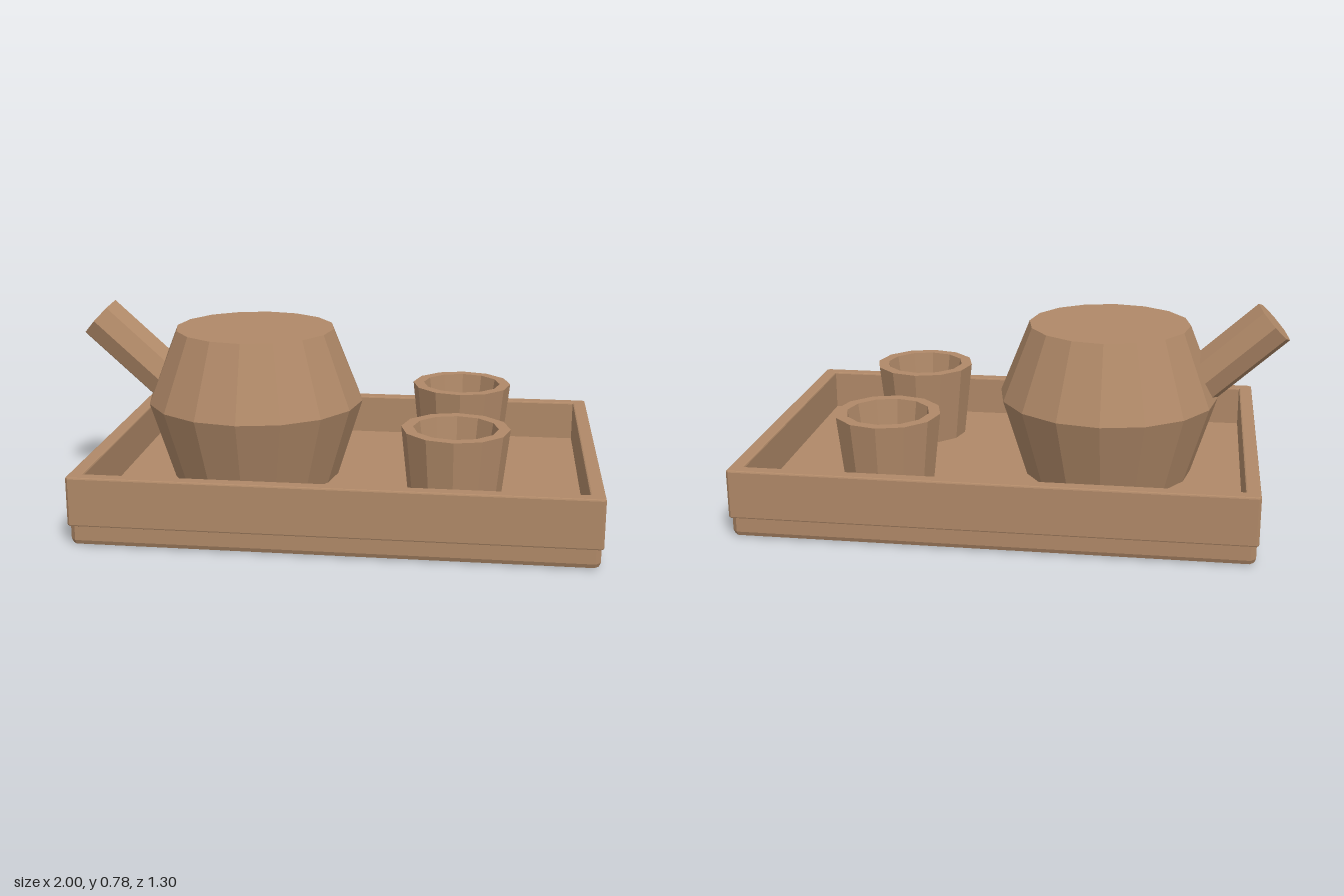
import * as THREE from 'three';

const TRAY_X = 0.053;
const FLOOR_Y = 0.1;

// Rectangle path with clipped corners, centred on the origin
function clippedRect(path, hw, hd, c) {
  path.moveTo(-hw + c, -hd);
  path.lineTo(hw - c, -hd);
  path.lineTo(hw, -hd + c);
  path.lineTo(hw, hd - c);
  path.lineTo(hw - c, hd);
  path.lineTo(-hw + c, hd);
  path.lineTo(-hw, hd - c);
  path.lineTo(-hw, -hd + c);
  path.closePath();
  return path;
}

// Upright bevelled slab from y0 to y1, with an optional rectangular opening
function slab(hw, hd, y0, y1, bevel, corner, hole) {
  const shape = clippedRect(new THREE.Shape(), hw - bevel, hd - bevel, corner);
  if (hole) shape.holes.push(clippedRect(new THREE.Path(), hole[0] + bevel, hole[1] + bevel, 0.003));
  const geo = new THREE.ExtrudeGeometry(shape, {
    depth: y1 - y0 - 2 * bevel,
    bevelEnabled: true, bevelSize: bevel, bevelThickness: bevel, bevelSegments: 2,
  });
  geo.rotateX(-Math.PI / 2);
  geo.translate(TRAY_X, y0 + bevel, 0);
  return geo;
}

export function createModel() {
  const group = new THREE.Group();
  const clay = new THREE.MeshStandardMaterial({ color: 0xb08968, flatShading: true });
  clay.name = 'clay';

  function add(name, geo, x = 0, y = 0, z = 0) {
    const mesh = new THREE.Mesh(geo, clay);
    mesh.name = name;
    mesh.position.set(x, y, z);
    group.add(mesh);
    return mesh;
  }

  // Tray: base slab and raised rim
  add('trayBase', slab(0.938, 0.644, 0, FLOOR_Y, 0.022, 0.006));
  add('trayRim', slab(0.945, 0.65, 0.075, 0.258, 0.006, 0.006, [0.892, 0.598]));

  // Faceted pot body
  const potProfile = [[0, 0], [0.325, 0], [0.42, 0.302], [0.308, 0.583], [0, 0.583]];
  add('potBody', new THREE.LatheGeometry(potProfile.map(p => new THREE.Vector2(...p)), 16), -0.32, FLOOR_Y, 0);

  // Octagonal spout rising to the left end of the tray
  const length = 0.5;
  const axis = new THREE.Vector3(-0.74, 0.67, 0).normalize();
  const tip = new THREE.Vector3(-0.937, 0.708, 0);
  const spout = add('potSpout', new THREE.CylinderGeometry(0.092, 0.092, length, 8));
  spout.quaternion.setFromUnitVectors(new THREE.Vector3(0, 1, 0), axis);
  spout.position.copy(tip).addScaledVector(axis, -length / 2);

  // Two hollow cups
  const cupProfile = [[0, 0], [0.165, 0], [0.198, 0.3], [0.155, 0.3], [0.115, 0.03], [0, 0.03]];
  for (const side of [1, -1]) {
    add(side > 0 ? 'frontCup' : 'backCup',
      new THREE.LatheGeometry(cupProfile.map(p => new THREE.Vector2(...p)), 12), 0.475, FLOOR_Y, side * 0.33);
  }

  return group;
}
